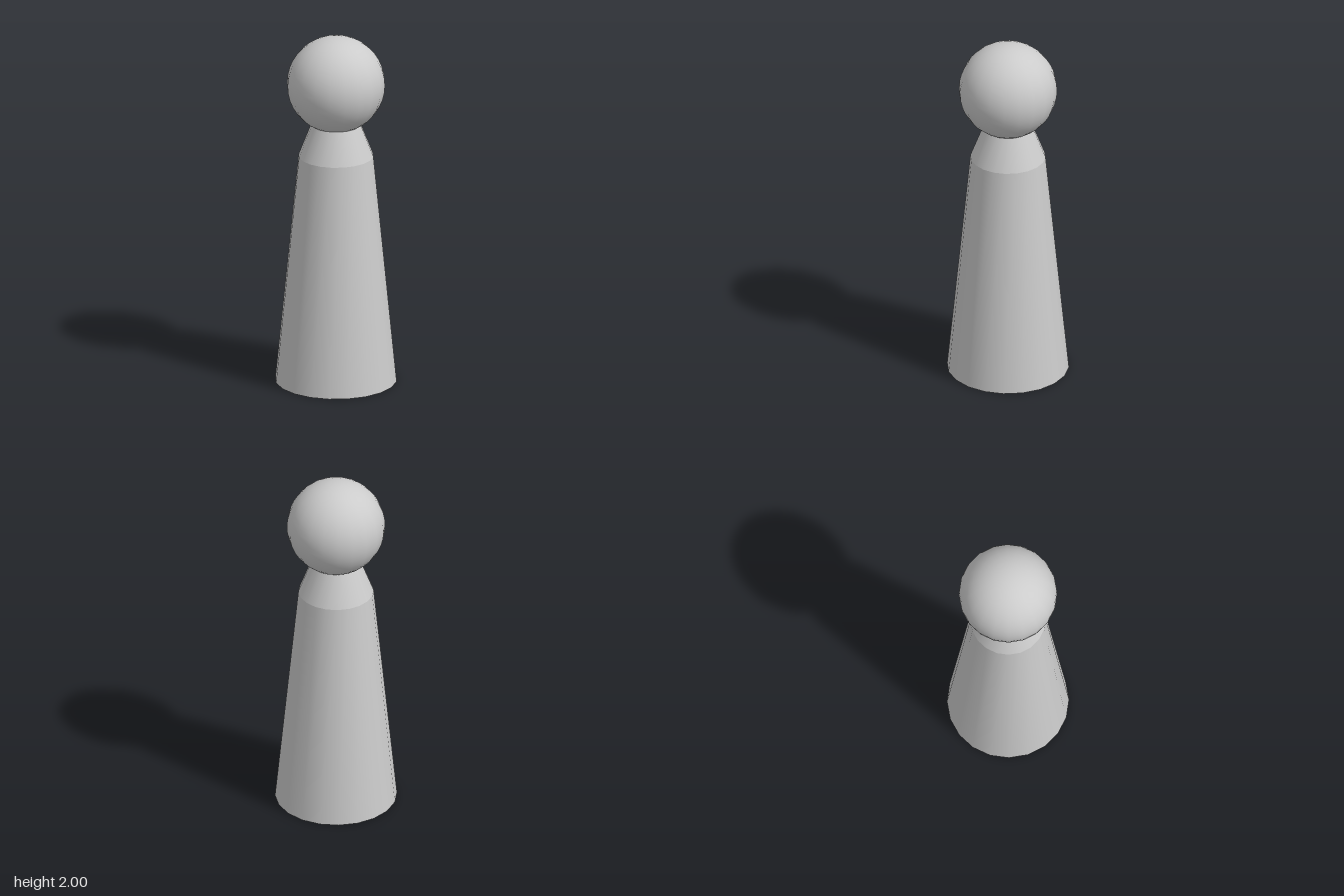
import * as THREE from 'three';

const SIDES = 20;

export function createModel() {
  const model = new THREE.Group();
  model.name = 'pegFigure';
  const material = new THREE.MeshStandardMaterial({ color: 0xcccccc });

  const add = (name, geometry, y) => {
    const mesh = new THREE.Mesh(geometry, material);
    mesh.name = name;
    mesh.position.y = y;
    model.add(mesh);
  };

  // A tapered section running from y0 up to y1
  const taper = (name, r0, r1, y0, y1) =>
    add(name, new THREE.CylinderGeometry(r1, r0, y1 - y0, SIDES), (y0 + y1) / 2);

  // Long tapering body with its flat base
  taper('body', 0.337, 0.208, 0, 1.31);

  // Steeper shoulders, ending just inside the head
  taper('shoulders', 0.208, 0.131, 1.31, 1.51);

  // Ball head
  add('head', new THREE.SphereGeometry(0.272, SIDES, SIDES), 1.728);

  return model;
}
